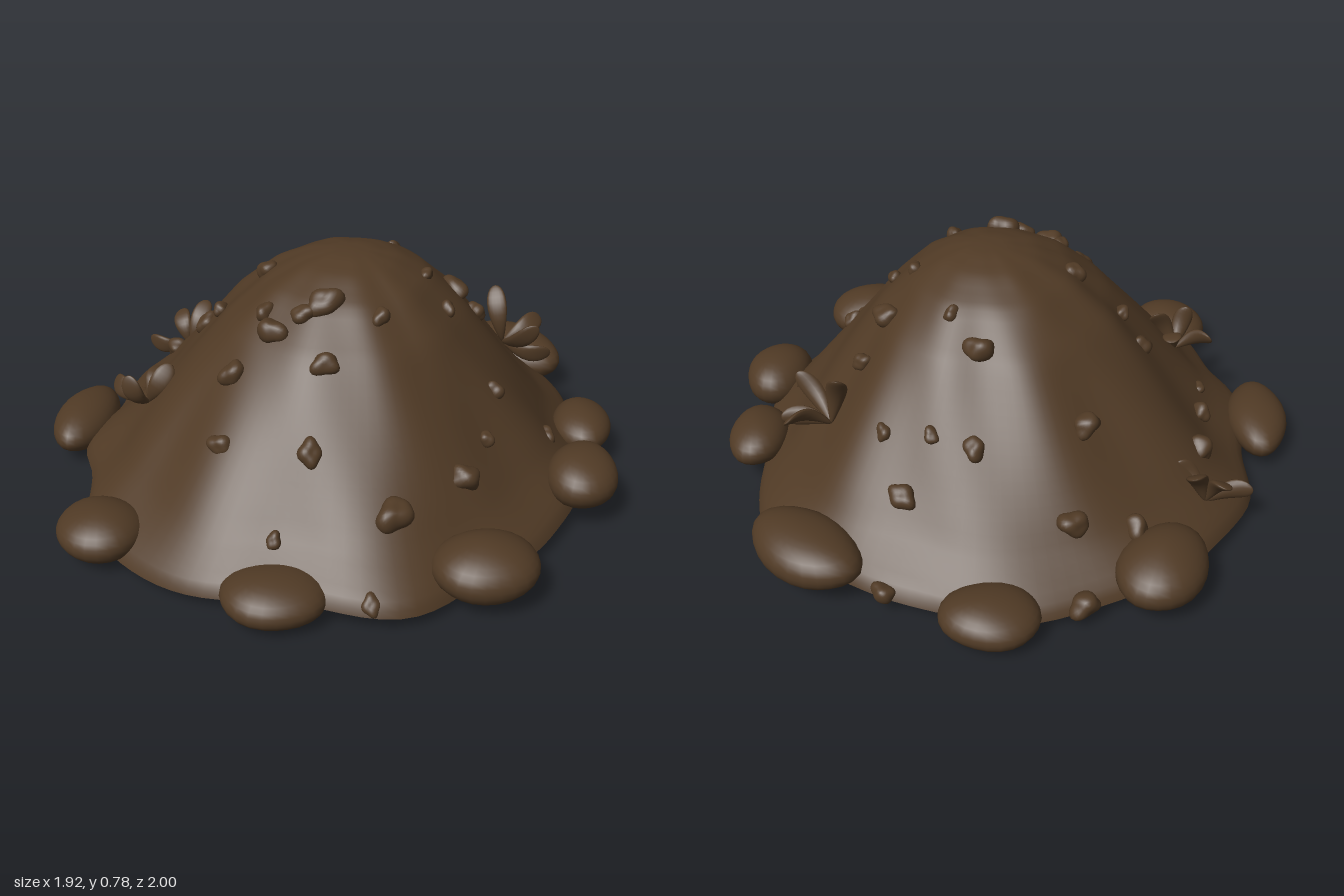
import * as THREE from 'three';
import { mergeVertices } from 'three/addons/utils/BufferGeometryUtils.js';

const soil = new THREE.MeshStandardMaterial({ color: 0x503a25 });
soil.name = 'brown soil';

// Outline radius every 22.5 degrees, from +z towards +x
const OUTLINE = [0.9, 0.93, 0.88, 0.86, 0.84, 0.87, 0.9, 0.88, 0.86, 0.88, 0.85, 0.86, 0.81, 0.83, 0.9, 0.92];
// Profile: fraction of the outline, height
const PROFILE = [[0, 0.792], [0.08, 0.788], [0.18, 0.765], [0.3, 0.71], [0.45, 0.595], [0.6, 0.44],
  [0.74, 0.295], [0.85, 0.185], [0.93, 0.125], [0.98, 0.09], [1, 0.055]];
const APEX = { x: 0.07, z: 0.03 };

function outline(phi) {
  const a = ((phi / (Math.PI * 2)) % 1 + 1) % 1 * 16;
  const i = Math.floor(a), f = a - i, s = f * f * (3 - 2 * f);
  return OUTLINE[i % 16] * (1 - s) + OUTLINE[(i + 1) % 16] * s;
}

function height(t) {
  let i = 0;
  while (i < PROFILE.length - 2 && PROFILE[i + 1][0] < t) i++;
  const [a, ya] = PROFILE[i], [b, yb] = PROFILE[i + 1];
  return ya + (yb - ya) * Math.min(1, (t - a) / (b - a));
}

// Gentle unevenness, fading out at the summit
function lump(t, phi) {
  return 0.012 * t * (Math.sin(7 * phi + 5 * t) + 0.7 * Math.sin(11 * phi - 9 * t));
}

function surface(t, phi, y) {
  const r = t * outline(phi) + lump(t, phi);
  const sway = 0.013 * t * t * Math.sin(5 * phi + 1);
  return new THREE.Vector3(APEX.x * (1 - t) + r * Math.sin(phi), y + sway, APEX.z * (1 - t) + r * Math.cos(phi));
}

// Point and outward normal of the mound above (x, z)
function groundAt(x, z) {
  let t = 0.5, phi = 0;
  for (let i = 0; i < 12; i++) {
    const dx = x - APEX.x * (1 - t), dz = z - APEX.z * (1 - t);
    phi = Math.atan2(dx, dz);
    t = Math.min(1, Math.hypot(dx, dz) / outline(phi));
  }
  const p = surface(t, phi, height(t)), e = 0.03;
  const slope = (height(Math.max(0, t - e)) - height(Math.min(1, t + e))) / (2 * e * outline(phi));
  return { point: p.setX(x).setZ(z), normal: new THREE.Vector3(Math.sin(phi) * slope, 1, Math.cos(phi) * slope).normalize() };
}

// Lathe bent to the mound's outline
function moundMesh(name, points) {
  let g = new THREE.LatheGeometry(points.map(([t, y]) => new THREE.Vector2(t, y)), 112);
  const pos = g.attributes.position;
  for (let i = 0; i < pos.count; i++) {
    const t = Math.hypot(pos.getX(i), pos.getZ(i));
    const p = surface(t, Math.atan2(pos.getX(i), pos.getZ(i)), pos.getY(i));
    pos.setXYZ(i, p.x, p.y, p.z);
  }
  g.deleteAttribute('uv');
  g.deleteAttribute('normal');
  g = mergeVertices(g, 1e-5);
  g.computeVertexNormals();
  const m = new THREE.Mesh(g, soil);
  m.name = name;
  return m;
}

// Uneven stone of unit radius
function stoneGeometry(seed, rough) {
  let g = new THREE.SphereGeometry(1, 24, 16);
  g.deleteAttribute('uv');
  g.deleteAttribute('normal');
  g = mergeVertices(g, 1e-4);
  const p = g.attributes.position, v = new THREE.Vector3();
  for (let i = 0; i < p.count; i++) {
    v.fromBufferAttribute(p, i);
    v.multiplyScalar(1 + rough * Math.sin(3 * v.x + seed) * Math.cos(2.6 * v.z - seed * 2 + v.y));
    p.setXYZ(i, v.x, v.y, v.z);
  }
  g.computeVertexNormals();
  return g;
}

// Curled leaf from one point to another, narrow at the stem and broad near the tip
function leaf(from, to, width) {
  const g = new THREE.SphereGeometry(1, 16, 14), p = g.attributes.position;
  const length = from.distanceTo(to);
  for (let i = 0; i < p.count; i++) {
    const s = (p.getY(i) + 1) / 2, x = p.getX(i) * width * (0.35 + 0.75 * s);
    p.setXYZ(i, x, s * length, p.getZ(i) * 0.016 + 4 * x * x + 0.03 * Math.sin(s * 3));
  }
  g.computeVertexNormals();
  const m = new THREE.Mesh(g, soil);
  m.name = 'leaf';
  m.position.copy(from);
  m.quaternion.setFromUnitVectors(new THREE.Vector3(0, 1, 0), to.clone().sub(from).normalize());
  return m;
}

export function createModel() {
  const model = new THREE.Group();
  model.name = 'earthMound';

  // Mound and its flat underside
  const curve = [];
  for (let i = 0; i <= 36; i++) curve.push([1 - i / 36, height(1 - i / 36)]);
  curve.splice(1, 0, [0.99, 0.075]);
  model.add(moundMesh('mound', curve));
  model.add(moundMesh('underside', [[0, 0.055], [0.5, 0.055], [1, 0.055]]));

  // Boulders round the foot: x, z, half sizes x and z, bottom, top, turn
  [[0, -0.88, 0.15, 0.12, 0.01, 0.15, 0], [-0.5, -0.69, 0.13, 0.17, 0.03, 0.21, -0.55],
    [0.57, -0.68, 0.2, 0.125, 0.04, 0.21, -0.6], [0.835, -0.15, 0.1, 0.14, 0.06, 0.2, 0],
    [0.84, 0.19, 0.113, 0.145, 0.06, 0.235, 0], [0.58, 0.68, 0.165, 0.135, 0.04, 0.21, 0.4],
    [0, 0.87, 0.155, 0.13, 0.01, 0.15, 0], [-0.58, 0.69, 0.14, 0.135, 0.02, 0.17, 0],
    [-0.86, 0.09, 0.1, 0.185, 0.02, 0.175, 0]].forEach(([x, z, rx, rz, low, high, turn], i) => {
    const m = new THREE.Mesh(stoneGeometry(i, 0.04), soil);
    m.name = 'boulder';
    m.position.set(x, (low + high) / 2, z);
    m.scale.set(rx, (high - low) / 2, rz);
    m.rotation.y = turn;
    model.add(m);
  });

  // Pebbles half sunk in the slope: x, z, size
  [[-0.23, -0.65, 0.045], [0.28, -0.61, 0.04], [0.07, -0.53, 0.036], [-0.26, -0.43, 0.045],
    [0.07, -0.33, 0.045], [0.38, -0.13, 0.045], [0.38, 0.07, 0.027], [0.3, 0, 0.025], [0.55, 0.16, 0.03],
    [0.72, 0.06, 0.032], [-0.65, -0.04, 0.036], [-0.65, 0.09, 0.026], [-0.44, -0.02, 0.035],
    [-0.21, 0.03, 0.035], [-0.63, -0.25, 0.045], [-0.16, 0.27, 0.032], [0.03, 0.28, 0.05],
    [-0.03, 0.31, 0.036], [-0.12, 0.34, 0.046], [0.2, 0.28, 0.03], [-0.23, 0.41, 0.042],
    [0.06, 0.43, 0.042], [-0.23, 0.57, 0.036], [0.05, 0.6, 0.038], [0.31, 0.67, 0.055],
    [0.49, 0.47, 0.05], [0.54, 0.33, 0.025], [0.28, 0.87, 0.03], [-0.02, 0.77, 0.025],
    [-0.27, -0.82, 0.045], [0.32, -0.81, 0.035], [0.2, -0.5, 0.026], [0.35, -0.46, 0.028],
    [0.16, -0.24, 0.025], [0.45, -0.22, 0.03], [-0.42, -0.6, 0.04], [-0.37, 0.04, 0.03]].forEach(([x, z, r], i) => {
    const { point, normal } = groundAt(x, z);
    const m = new THREE.Mesh(stoneGeometry(i * 1.7, 0.2), soil);
    m.name = 'pebble';
    m.position.copy(point);
    m.quaternion.setFromUnitVectors(new THREE.Vector3(0, 1, 0), normal);
    m.rotateY(i * 2.4);
    m.scale.set(r * 1.1, r * 0.8, r * 0.85);
    model.add(m);
  });

  // Leafy sprouts: base x and z, then leaf tips relative to the base
  [[0.54, -0.33, [[-0.04, 0.19, -0.05], [0.17, -0.01, 0.03], [0.12, 0.12, 0.1], [0.12, 0.06, -0.1]]],
    [-0.64, -0.42, [[-0.15, 0.03, 0.02], [0.05, 0.15, -0.09], [0.09, 0.11, 0.05], [-0.05, 0.11, -0.08]]],
    [-0.57, 0.24, [[-0.12, 0.06, -0.04], [0.08, 0.14, -0.02], [-0.04, 0.13, 0.06], [0.02, 0.08, -0.1]]]]
    .forEach(([x, z, tips]) => {
      const sprout = new THREE.Group();
      sprout.name = 'sprout';
      const { point } = groundAt(x, z);
      for (const tip of tips) sprout.add(leaf(point, point.clone().add(new THREE.Vector3(...tip)), 0.042));
      model.add(sprout);
    });

  return model;
}
